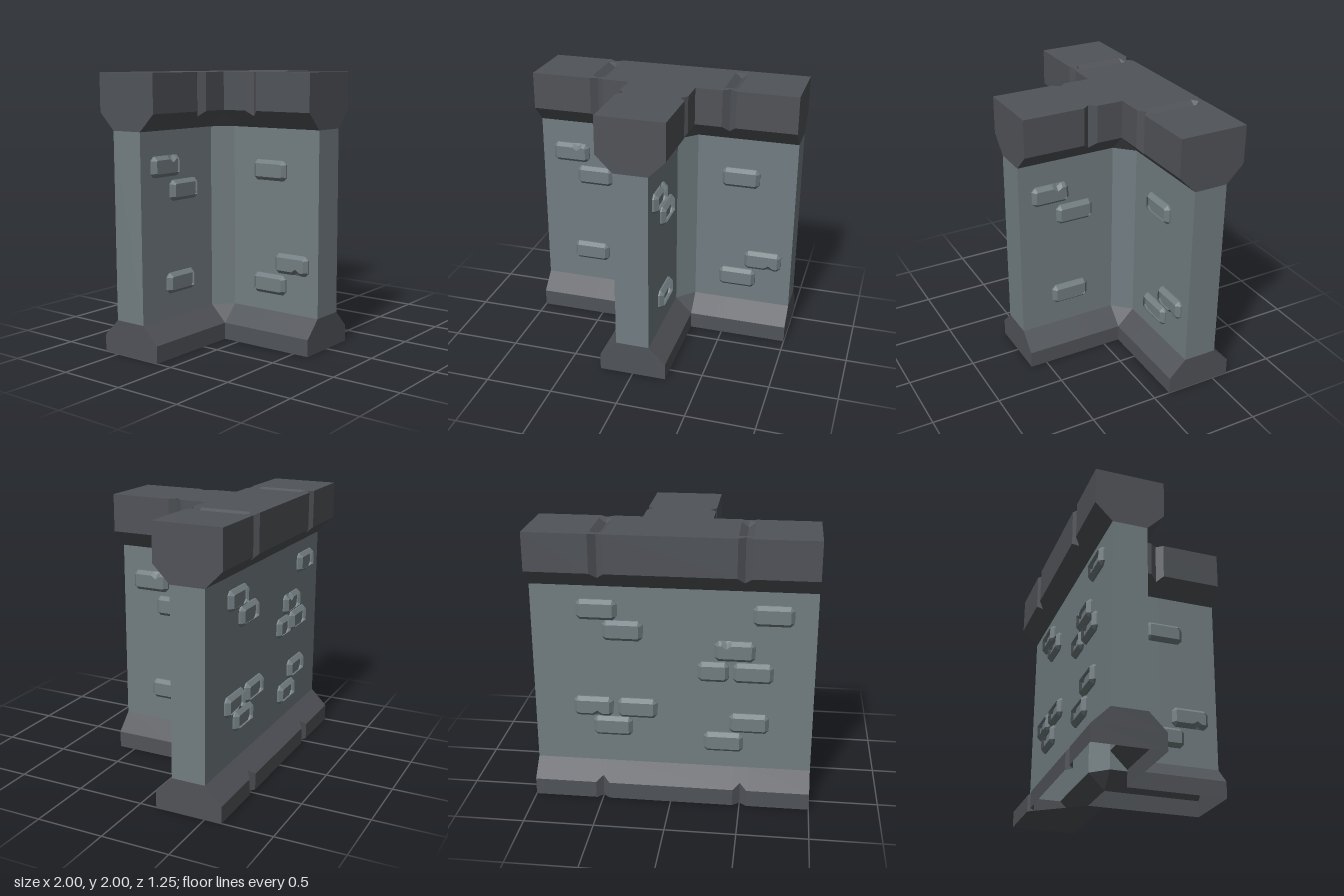
import * as THREE from 'three';
import { mergeGeometries } from 'three/addons/utils/BufferGeometryUtils.js';

const wallMat = new THREE.MeshStandardMaterial({ color: 0x727d81, side: THREE.DoubleSide });
wallMat.name = 'wall stone';
const trimMat = new THREE.MeshStandardMaterial({ color: 0x505358, side: THREE.DoubleSide });
trimMat.name = 'dark trim stone';

const DEPTH = 0.04; // depth of the V grooves

// Flat-shaded geometry from a list of polygons (each an array of [x, y, z])
function polygons(list) {
  const pos = [];
  for (const p of list)
    for (let i = 1; i < p.length - 1; i++) pos.push(...p[0], ...p[i], ...p[i + 1]);
  const g = new THREE.BufferGeometry();
  g.setAttribute('position', new THREE.Float32BufferAttribute(pos, 3));
  g.computeVertexNormals();
  return g;
}

// Closed skin through a stack of equal-length loops
function loft(loops, flip) {
  const faces = [];
  for (let k = 0; k < loops.length - 1; k++) {
    const lo = loops[k], hi = loops[k + 1], n = lo.length;
    for (let i = 0; i < n; i++) {
      const j = (i + 1) % n;
      faces.push(flip ? [lo[i], hi[i], hi[j], lo[j]] : [lo[i], lo[j], hi[j], hi[i]]);
    }
  }
  return polygons(faces);
}

function mesh(name, geometry, material) {
  const m = new THREE.Mesh(geometry, material);
  m.name = name;
  return m;
}

// Right half of the T plan: trim x, z; wall x, z; groove direction x, z; groove also in base
const half = [
  [0.45, -0.625, 0.45, -0.5], [0.5, -0.625, 0.5, -0.5, 0, 1, true], [0.55, -0.625, 0.55, -0.5],
  [1, -0.625, 1, -0.5], [1, -0.125, 1, -0.25],
  [0.55, -0.125, 0.55, -0.25], [0.5, -0.125, 0.5, -0.25, 0, -1, false], [0.45, -0.125, 0.45, -0.25],
  [0.25, -0.125, 0.25, -0.25], [0.25, -0.125, 0.125, -0.125],
  [0.25, 0.07, 0.125, 0.07], [0.25, 0.12, 0.125, 0.12, -1, 0, false], [0.25, 0.17, 0.125, 0.17],
  [0.25, 0.625, 0.125, 0.625],
];
const plan = [
  ...half,
  ...half.map(([a, b, c, d, e = 0, f = 0, g]) => [-a, b, -c, d, -e, f, g]).reverse(),
];

const wallLoop = (y) => plan.map(([, , x, z]) => [x, y, z]);
// Trim outline; tipShift moves the groove tips up or down so they run out on the slope
function trimLoop(y, isBase, tipShift) {
  return plan.map(([x, z, , , dx = 0, dz = 0, inBase]) => {
    const cut = (dx || dz) && (!isBase || inBase) ? 1 : 0;
    return [x + dx * DEPTH * cut, y + tipShift * cut, z + dz * DEPTH * cut];
  });
}

// Elongated six-sided dent for the top, running along x
const L = 0.215, l = 0.18, W = 0.05;
function dentGeometry() {
  const faces = [];
  for (const s of [1, -1]) {
    const p = (x, y, z) => [s * x, y, s * z];
    faces.push([p(-l, 0, -W), p(-l, -DEPTH, 0), p(l, -DEPTH, 0), p(l, 0, -W)]);
    faces.push([p(l, 0, -W), p(l, -DEPTH, 0), p(L, 0, 0)]);
    faces.push([p(L, 0, 0), p(l, -DEPTH, 0), p(l, 0, W)]);
  }
  return polygons(faces);
}
const dents = [[0.5, -0.375, true], [-0.5, -0.375, true], [0, 0.12, false]];
const flat = (pts) => pts.map(([x, z]) => new THREE.Vector2(x, -z));

// Top slab face with openings for the dents
function topGeometry() {
  const outline = trimLoop(2, false, 0).map(([x, , z]) => [x, z])
    .filter((p, i, a) => !i || p[0] !== a[i - 1][0] || p[1] !== a[i - 1][1]);
  const shape = new THREE.Shape(flat(outline));
  const hex = [[-L, 0], [-l, -W], [l, -W], [L, 0], [l, W], [-l, W]];
  for (const [cx, cz, turned] of dents)
    shape.holes.push(new THREE.Path(flat(hex.map(([u, v]) => (turned ? [cx + v, cz + u] : [cx + u, cz + v])))));
  return new THREE.ShapeGeometry(shape).rotateX(-Math.PI / 2).translate(0, 2, 0);
}

// Raised brick with chamfered face; chip = [u, side] nicks the top (1) or bottom (-1) edge
function brickGeometry(w, h, chip) {
  const outline = (inset, cut, nick, z) => {
    const a = w / 2 - inset, b = h / 2 - inset;
    const edge = (s) => (chip && chip[1] === s
      ? [[chip[0] + s * 0.035, s * b], [chip[0], s * (b - nick)], [chip[0] - s * 0.035, s * b]] : []);
    return [
      [-a, -b + cut], [-a + cut, -b], ...edge(-1), [a - cut, -b], [a, -b + cut],
      [a, b - cut], [a - cut, b], ...edge(1), [-a + cut, b], [-a, b - cut],
    ].map(([x, y]) => [x, y, z]);
  };
  const front = outline(0.026, 0.006, 0.024, 0.04);
  const sides = loft([outline(0, 0.028, 0, 0), outline(0, 0.028, 0.02, 0.012), front], false);
  const cap = new THREE.ShapeGeometry(new THREE.Shape(front.map(([x, y]) => new THREE.Vector2(x, y)))).toNonIndexed();
  cap.deleteAttribute('uv');
  return mergeGeometries([sides, cap]);
}

// Bricks on each wall face: [across, up, chip, width]
const leftSet = [[-0.76, 1.35, [0.05, 1]], [-0.57, 1.17], [-0.615, 0.505]];
const rightSet = [[0.585, 1.295], [0.78, 0.62, [0.05, -1]], [0.585, 0.455]];
const shift = (set, d) => set.map(([u, ...rest]) => [u + d, ...rest]);
const backSet = [
  [-0.53, 1.43], [-0.35, 1.28], [0.7, 1.43], [0.44, 1.16, [-0.06, 1]], [0.29, 1.0, null, 0.22], [0.57, 1.0],
  [-0.57, 0.69, [0.03, -1]], [-0.25, 0.69], [-0.43, 0.54], [0.55, 0.61], [0.37, 0.455],
];
const brickFaces = [
  ['frontBricks', 0, [0, 0, -0.25], [...leftSet, ...rightSet]],
  ['stemLeftBricks', Math.PI / 2, [0.125, 0, 0], shift(leftSet, 0.375)],
  ['stemRightBricks', -Math.PI / 2, [-0.125, 0, 0], shift(rightSet, -0.375)],
  ['backBricks', Math.PI, [0, 0, -0.5], backSet],
];

export function createModel() {
  const model = new THREE.Group();
  model.name = 'wallJunction';

  // Wall body and sloped trims
  model.add(mesh('wall', loft([wallLoop(0.25), wallLoop(1.6)], true), wallMat));
  model.add(mesh('base', loft([trimLoop(0, true, 0), trimLoop(0.125, true, DEPTH), wallLoop(0.25)], true), trimMat));
  model.add(mesh('cap', loft([wallLoop(1.6), trimLoop(1.725, false, -DEPTH), trimLoop(2, false, 0)], true), trimMat));
  model.add(mesh('capTop', topGeometry(), trimMat));

  // Dents across the top
  for (const [x, z, turned] of dents) {
    const dent = mesh('topDent', dentGeometry(), trimMat);
    dent.position.set(x, 2, z);
    if (turned) dent.rotation.y = Math.PI / 2;
    model.add(dent);
  }

  // Underside of the left arm; the rest of the base is open
  const under = [[0.54, -0.625], [1, -0.625], [1, -0.125], [0.25, -0.125], [0.25, -0.25]];
  model.add(mesh('underside', polygons([under.map(([x, z]) => [x, 0, z])]), trimMat));

  // Raised bricks
  for (const [name, turn, origin, set] of brickFaces) {
    const face = new THREE.Group();
    face.name = name;
    face.position.set(...origin);
    face.rotation.y = turn;
    for (const [u, v, chip, w = 0.285] of set) {
      const brick = mesh('brick', brickGeometry(w, 0.148, chip), wallMat);
      brick.position.set(u, v, 0);
      face.add(brick);
    }
    model.add(face);
  }
  return model;
}
